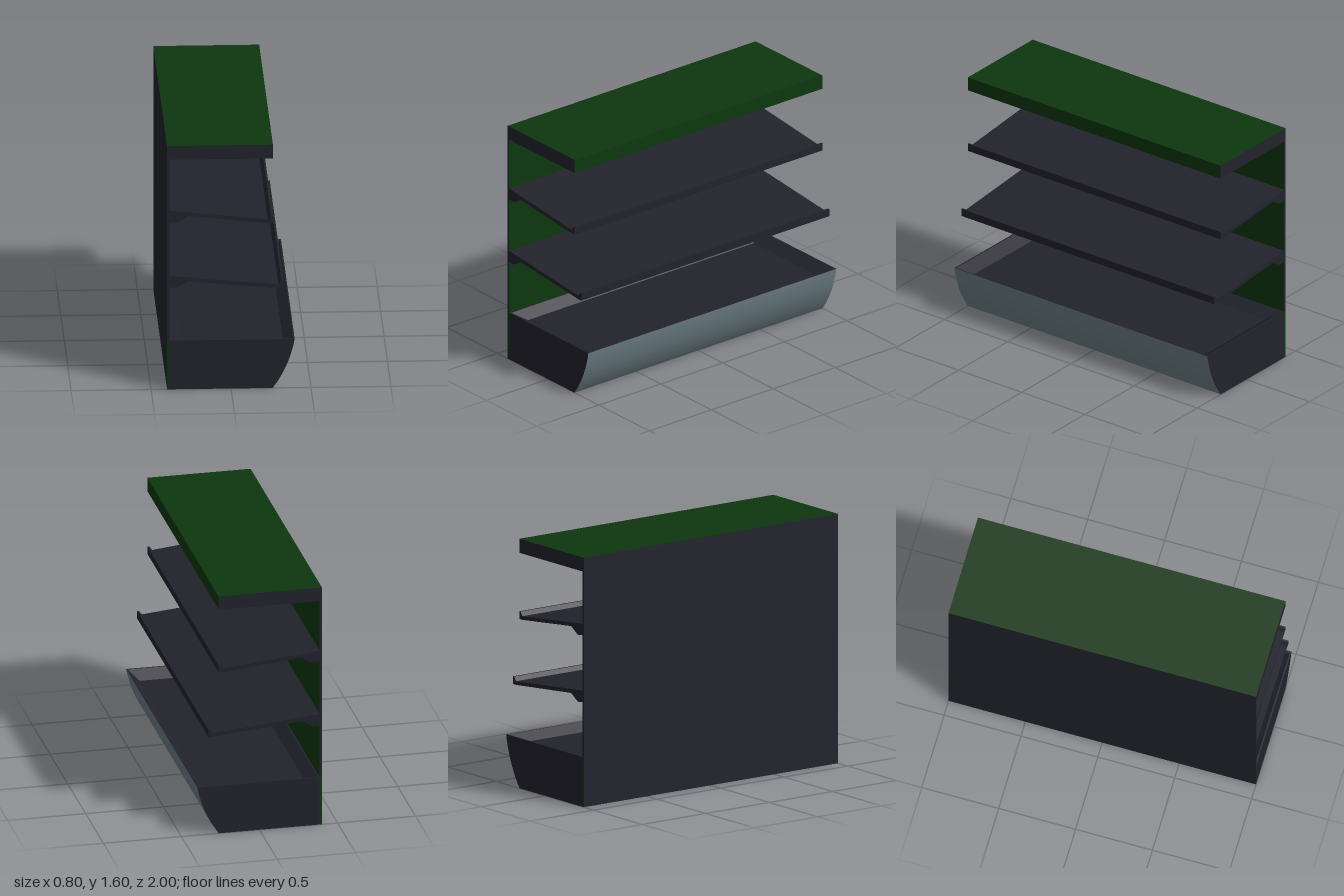
import * as THREE from 'three';

const mat = (name, color) => {
  const m = new THREE.MeshStandardMaterial({ color, side: THREE.DoubleSide });
  m.name = name;
  return m;
};

export function createModel() {
  const group = new THREE.Group();
  const green = mat('darkGreen', 0x0d370f);
  const dark = mat('charcoal', 0x22222c);
  const steel = mat('steelGrey', 0x708389);

  const add = (name, geometry, material) => {
    const mesh = new THREE.Mesh(geometry, material);
    mesh.name = name;
    group.add(mesh);
    return mesh;
  };
  const shapeOf = (pts) => new THREE.Shape(pts.map(([x, y]) => new THREE.Vector2(x, y)));

  // box from x and y ranges, running the full length; faces: +x -x +y -y +z -z
  const slab = (name, x0, x1, y0, y1, mats) => {
    const g = new THREE.BoxGeometry(x1 - x0, y1 - y0, 2);
    g.translate((x0 + x1) / 2, (y0 + y1) / 2, 0);
    return add(name, g, mats);
  };

  // four-cornered faces, corners counter-clockwise seen from outside
  const quads = (list) => {
    const pos = [];
    for (const [a, b, c, d] of list) pos.push(...a, ...b, ...c, ...a, ...c, ...d);
    const g = new THREE.BufferGeometry();
    g.setAttribute('position', new THREE.Float32BufferAttribute(pos, 3));
    g.computeVertexNormals();
    return g;
  };

  // back wall, with green ends only beside the base
  slab('lowerBackPanel', -0.4, -0.386, 0, 0.32, [green, dark, dark, dark, green, green]);
  slab('upperBackPanel', -0.4, -0.386, 0.32, 1.51, [green, dark, dark, dark, dark, dark]);

  // canopy with dark ends
  slab('canopy', -0.4, 0.262, 1.51, 1.6, [green, dark, green, green, dark, dark]);

  // sloping shelves with a front lip and a thick rear bracket
  const shelf = (name, y, front) => {
    const profile = [
      [-0.386, y], [-0.386, y - 0.075], [-0.34, y - 0.08], [-0.27, y - 0.037],
      [front - 0.035, y - 0.089], [front, y - 0.089], [front, y - 0.04],
      [front - 0.012, y - 0.04], [front - 0.032, y - 0.066],
    ];
    const g = new THREE.ExtrudeGeometry(shapeOf(profile), { depth: 2, bevelEnabled: false });
    g.translate(0, 0, -1);
    add(name, g, dark);
  };
  shelf('upperShelf', 1.175, 0.262);
  shelf('lowerShelf', 0.746, 0.328);

  // curved front of the base
  const curve = new THREE.QuadraticBezierCurve(
    new THREE.Vector2(0.26, 0), new THREE.Vector2(0.365, 0.14), new THREE.Vector2(0.398, 0.32));
  const arc = curve.getPoints(10).map((p) => [p.x, p.y]);
  add('baseFront', quads(arc.slice(1).map(([x, y], i) => {
    const [px, py] = arc[i];
    return [[px, py, 1], [px, py, -1], [x, y, -1], [x, y, 1]];
  })), steel);

  // base ends and underside
  const endShape = shapeOf([[-0.386, 0], ...arc, [-0.386, 0.32]]);
  add('baseFrontEnd', new THREE.ShapeGeometry(endShape).translate(0, 0, 1), dark);
  const rear = new THREE.ShapeGeometry(endShape);
  rear.setIndex(Array.from(rear.index.array).reverse());
  rear.attributes.normal.array.forEach((n, i, a) => { a[i] = -n; });
  add('baseBackEnd', rear.translate(0, 0, -1), dark);
  add('baseUnderside', quads([[[-0.386, 0, -1], [0.26, 0, -1], [0.26, 0, 1], [-0.386, 0, 1]]]), dark);

  // shallow basin: sloping sides down to a flat floor
  const loop = (x0, x1, z, y) => [[x0, y, z], [x1, y, z], [x1, y, -z], [x0, y, -z]];
  const rim = loop(-0.386, 0.398, 1, 0.32);
  const lip = loop(-0.376, 0.39, 0.99, 0.32);
  const floor = loop(-0.31, 0.33, 0.91, 0.27);
  const ring = (a, b) => a.map((p, i) => [p, a[(i + 1) % 4], b[(i + 1) % 4], b[i]]);
  add('basin', quads([...ring(rim, lip), ...ring(lip, floor), floor]), dark);

  return group;
}
